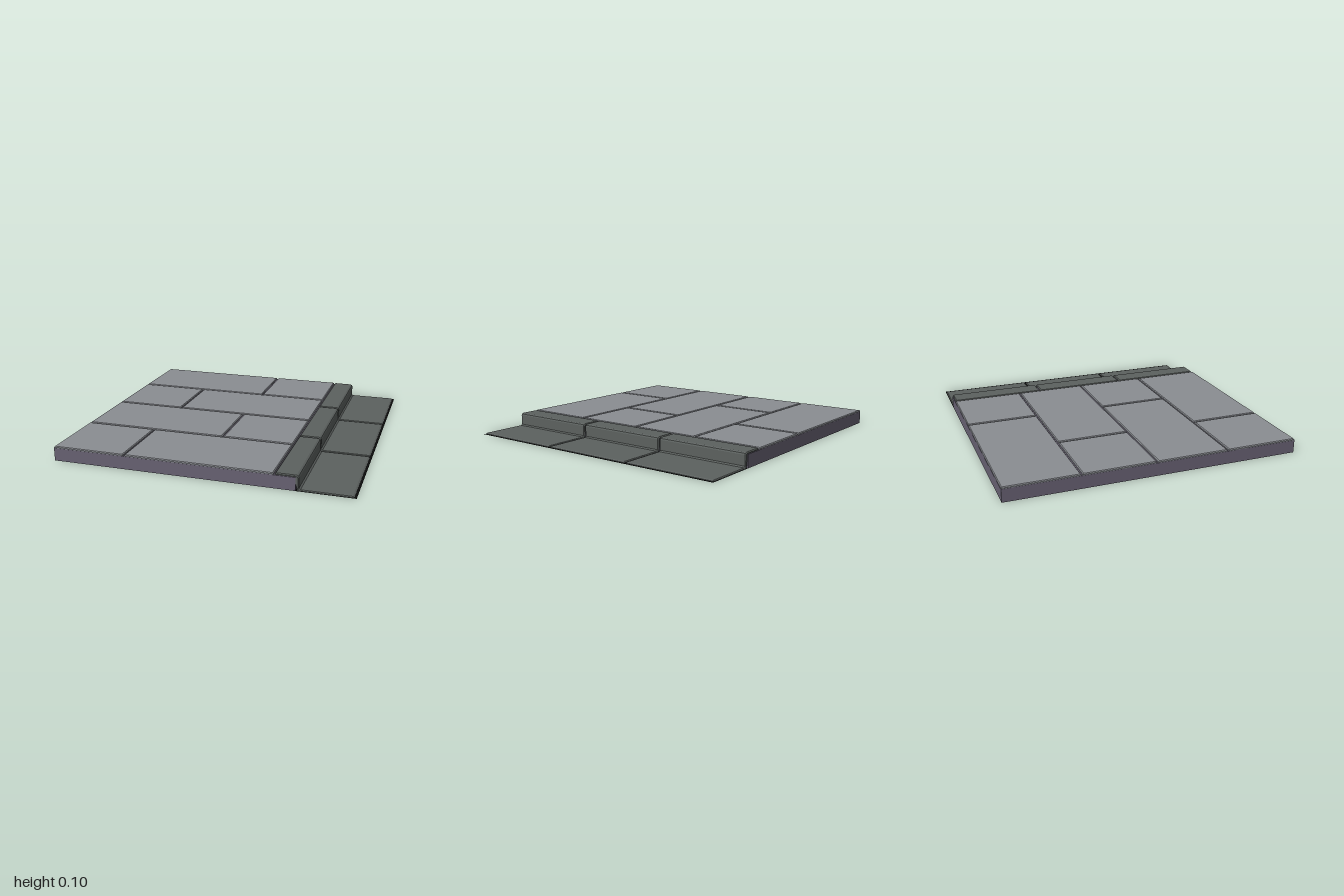
import * as THREE from 'three';

const mat = (color) => new THREE.MeshStandardMaterial({ color, side: THREE.DoubleSide, flatShading: true });

// Skin a list of equally long rows of [x, y, z] points; faces point along (row step) x (point step)
function skin(rows) {
  const pos = [];
  for (let j = 0; j < rows.length - 1; j++) {
    for (let i = 0; i < rows[j].length - 1; i++) {
      const a = rows[j][i], b = rows[j + 1][i], c = rows[j + 1][i + 1], d = rows[j][i + 1];
      pos.push(...a, ...b, ...d, ...b, ...c, ...d);
    }
  }
  const geo = new THREE.BufferGeometry();
  geo.setAttribute('position', new THREE.Float32BufferAttribute(pos, 3));
  geo.computeVertexNormals();
  return geo;
}

// Paving slab: bevelled top with a short skirt, open below
function slabGeometry(x0, x1, z0, z1) {
  const ring = (y, b) => [[x1 - b, y, z1 - b], [x0 + b, y, z1 - b], [x0 + b, y, z0 + b],
    [x1 - b, y, z0 + b], [x1 - b, y, z1 - b]];
  const centre = Array.from({ length: 5 }, () => [(x0 + x1) / 2, 0.1, (z0 + z1) / 2]);
  return skin([ring(0.06, 0), ring(0.094, 0), ring(0.1, 0.005), centre]);
}

// Kerb stone with gutter plate: one profile swept along z with bevelled, closed ends
function kerbGeometry(z0, z1) {
  const full = [[0.5, 0.04], [0.5, 0.094], [0.506, 0.1], [0.634, 0.1], [0.646, 0.094],
    [0.65, 0.085], [0.65, 0.016], [0.66, 0.008], [0.975, 0.008], [0.985, 0.003], [0.985, 0]];
  const inset = [[0.505, 0.04], [0.505, 0.09], [0.508, 0.094], [0.632, 0.094], [0.641, 0.089],
    [0.644, 0.083], [0.644, 0.012], [0.656, 0.003], [0.968, 0.003], [0.975, 0.002], [0.975, 0]];
  const b = 0.006;
  const foot = (z) => inset.map(([x, y]) => [x, Math.min(y, x < 0.635 ? 0.04 : 0), z]);
  const row = (profile, z) => profile.map(([x, y]) => [x, y, z]);
  return skin([foot(z0), row(inset, z0), row(full, z0 + b), row(full, z1 - b), row(inset, z1), foot(z1)]);
}

export function createModel() {
  const group = new THREE.Group();
  const slabMat = mat(0x8a8d92), kerbMat = mat(0x5c615f), baseMat = mat(0x686273), bedMat = mat(0x0c0c0c);
  const add = (name, geo, material, parent = group) => {
    const mesh = new THREE.Mesh(geo, material);
    mesh.name = name;
    parent.add(mesh);
    return mesh;
  };

  // Hollow base: four walls and the mortar bed, open underneath
  const xa = -1, xb = 0.63, h = 0.088;
  const outline = [[xb, 1], [xa, 1], [xa, -1], [xb, -1], [xb, 1]];
  const ring = (y) => outline.map(([x, z]) => [x, y, z]);
  add('baseWalls', skin([ring(0), ring(h)]), baseMat);
  add('mortarBed', skin([[[xa, h, -1], [xb, h, -1]], [[xa, h, 1], [xb, h, 1]]]), baseMat);

  // Paving slabs in running bond
  const paving = new THREE.Group();
  paving.name = 'pavingSlabs';
  group.add(paving);
  const gap = 0.006, edge = 0.497;
  for (let r = 0; r < 4; r++) {
    const z0 = -1 + r * 0.5 + (r ? gap : 0.001), z1 = -0.5 + r * 0.5 - (r < 3 ? gap : 0.001);
    const split = r % 2 ? -0.5 : 0;
    add('pavingSlab', slabGeometry(-0.999, split - gap, z0, z1), slabMat, paving);
    add('pavingSlab', slabGeometry(split + gap, edge - gap, z0, z1), slabMat, paving);
  }

  // Three kerb stones with gutter plates
  const kerb = new THREE.Group();
  kerb.name = 'kerb';
  group.add(kerb);
  for (let k = 0; k < 3; k++) {
    const z0 = -1 + (k * 2) / 3;
    add('kerbStone', kerbGeometry(z0 + 0.005, z0 + 2 / 3 - 0.005), kerbMat, kerb);
  }

  // Dark sheet below the gutter
  add('gutterBed', skin([[[xb, 0, -1], [1, 0, -1]], [[xb, 0, 1], [1, 0, 1]]]), bedMat);
  return group;
}
